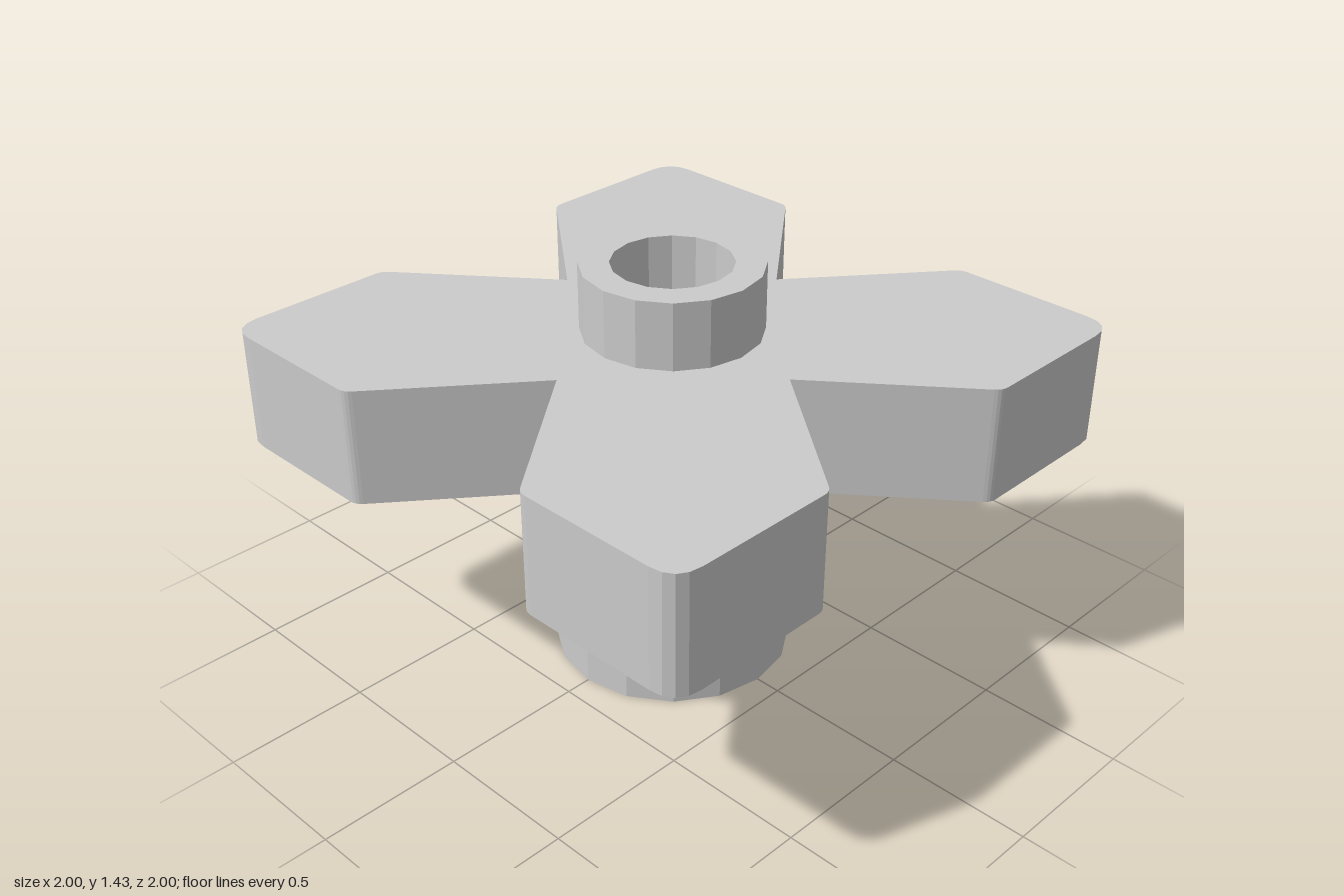
import * as THREE from 'three';

const SIDES = 16;

// rotate a 2D point by k quarter turns
function turn([x, y], k) {
  for (let i = 0; i < k; i++) [x, y] = [-y, x];
  return [x, y];
}

// four-petal outline with rounded tips and sharp notches
function petalOutline() {
  const shape = new THREE.Shape();
  for (let k = 0; k < 4; k++) {
    const line = (x, y) => shape.lineTo(...turn([x, y], k));
    const round = (cx, cy, x, y) => shape.quadraticCurveTo(...turn([cx, cy], k), ...turn([x, y], k));
    if (k === 0) shape.moveTo(0.5, 0);
    else line(0.5, 0);
    line(0.98, 0.384);
    round(1, 0.4, 1, 0.425);
    line(1, 0.9);
    round(1, 1, 0.9, 1);
    line(0.425, 1);
    round(0.4, 1, 0.384, 0.98);
  }
  shape.closePath();
  return shape;
}

// regular polygon hole
function roundHole(r) {
  const pts = [];
  for (let i = 0; i < SIDES; i++) {
    const a = (-i / SIDES) * Math.PI * 2;
    pts.push(new THREE.Vector2(r * Math.cos(a), r * Math.sin(a)));
  }
  return new THREE.Path(pts);
}

// pointed pocket under one petal, laid along the diagonal
function pocketHole(k) {
  const inner = 0.45, shoulder = 0.935, tip = 1.135, half = 0.2;
  const pts = [[inner, -half], [inner, half], [shoulder, half], [tip, 0], [shoulder, -half]];
  const a = Math.PI / 4 + (k * Math.PI) / 2;
  return new THREE.Path(pts.map(([x, y]) => new THREE.Vector2(x, y).rotateAround(new THREE.Vector2(), a)));
}

export function createModel() {
  const model = new THREE.Group();
  const material = new THREE.MeshStandardMaterial({ color: 0xcccccc, flatShading: true });

  const add = (name, geometry) => {
    const mesh = new THREE.Mesh(geometry, material);
    mesh.name = name;
    model.add(mesh);
  };
  const slab = (name, shape, y0, y1) => {
    const g = new THREE.ExtrudeGeometry(shape, { depth: y1 - y0, bevelEnabled: false, curveSegments: 4 });
    g.rotateX(-Math.PI / 2).translate(0, y0, 0);
    add(name, g);
  };
  const turned = (name, profile) =>
    add(name, new THREE.LatheGeometry(profile.map(([r, y]) => new THREE.Vector2(r, y)), SIDES));

  // petal top plate with a through hole
  const top = petalOutline();
  top.holes.push(roundHole(0.2));
  slab('petalTop', top, 1.05, 1.2);

  // petal walls, hollow underneath
  const walls = petalOutline();
  walls.holes.push(roundHole(0.38));
  for (let k = 0; k < 4; k++) walls.holes.push(pocketHole(k));
  slab('petalWalls', walls, 0.8, 1.05);

  // stepped hollow body
  turned('body', [[0.3, 1.05], [0.3, 0], [0.41, 0], [0.41, 0.25], [0.5, 0.25], [0.5, 1.05]]);

  // hollow stud on top
  turned('stud', [[0.3, 1.2], [0.3, 1.43], [0.2, 1.43], [0.2, 1.2]]);

  return model;
}
